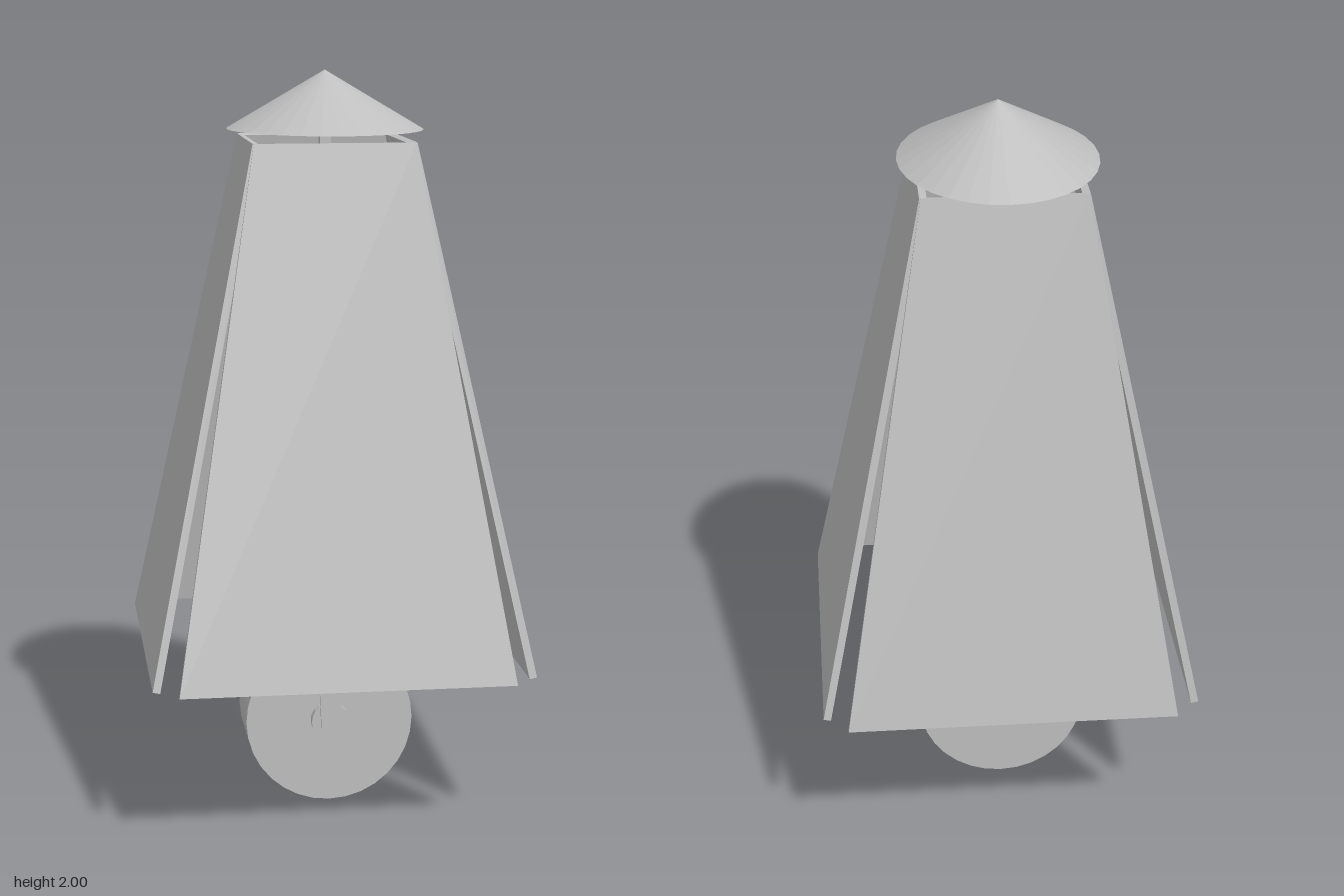
import * as THREE from 'three';

const grey = new THREE.MeshStandardMaterial({ color: 0xbfbfbf, flatShading: true });
grey.name = 'plainGrey';

function add(parent, name, geometry, x = 0, y = 0, z = 0) {
  const mesh = new THREE.Mesh(geometry, grey);
  mesh.name = name;
  mesh.position.set(x, y, z);
  parent.add(mesh);
  return mesh;
}

// Flat trapezoid plate standing on its lower edge, extruded along z
function trapezoid(bottomHalf, topHalf, height, depth) {
  const shape = new THREE.Shape([
    new THREE.Vector2(-bottomHalf, 0), new THREE.Vector2(bottomHalf, 0),
    new THREE.Vector2(topHalf, height), new THREE.Vector2(-topHalf, height),
  ]);
  return new THREE.ExtrudeGeometry(shape, { depth, bevelEnabled: false });
}

// Cylinder lying along z
const zCylinder = (radius, width, sides) =>
  new THREE.CylinderGeometry(radius, radius, width, sides).rotateX(Math.PI / 2);

export function createModel() {
  const model = new THREE.Group();
  model.name = 'wheeledCanopy';

  // Four leaning side panels
  const rise = 1.386, inset = 0.29;
  const panelGeometry = trapezoid(0.44, 0.212, Math.hypot(rise, inset), 0.02)
    .translate(0, 0, -0.02)
    .rotateX(-Math.atan2(inset, rise))
    .translate(0, 0.434, 0.505);
  ['front', 'left', 'back', 'right'].forEach((side, i) => {
    add(model, side + 'Panel', panelGeometry).rotation.y = i * Math.PI / 2;
  });

  // Oval conical cap
  const cap = add(model, 'cap', new THREE.ConeGeometry(1, 0.155, 32), 0, 1.9225, 0);
  cap.scale.set(0.262, 1, 0.335);

  // Central mast with its cross pieces
  add(model, 'mast', new THREE.BoxGeometry(0.03, 1.22, 0.03), 0, 1.24, 0);
  add(model, 'lowerMast', new THREE.BoxGeometry(0.05, 0.55, 0.05), 0, 0.93, 0);
  add(model, 'upperCrossBar', new THREE.BoxGeometry(0.05, 0.04, 0.22), 0, 1.19, 0);
  add(model, 'mastCollar', new THREE.CylinderGeometry(0.06, 0.06, 0.04, 16), 0, 1.27, 0);

  // Fork
  add(model, 'forkCrown', new THREE.BoxGeometry(0.07, 0.04, 0.26), 0, 0.65, 0);
  const legGeometry = trapezoid(0.026, 0.05, 0.57, 0.01).translate(0, 0, -0.005);
  for (const s of [1, -1]) {
    add(model, s > 0 ? 'frontForkLeg' : 'backForkLeg', legGeometry, 0, 0.212, s * 0.13);
    add(model, s > 0 ? 'frontHub' : 'backHub', zCylinder(0.052, 0.03, 20), 0, 0.232, s * 0.111);
  }

  // Wheel and axle
  add(model, 'wheel', zCylinder(0.23, 0.2, 32), 0, 0.23, 0);
  add(model, 'axle', zCylinder(0.024, 0.26, 16), 0, 0.232, 0);

  return model;
}
